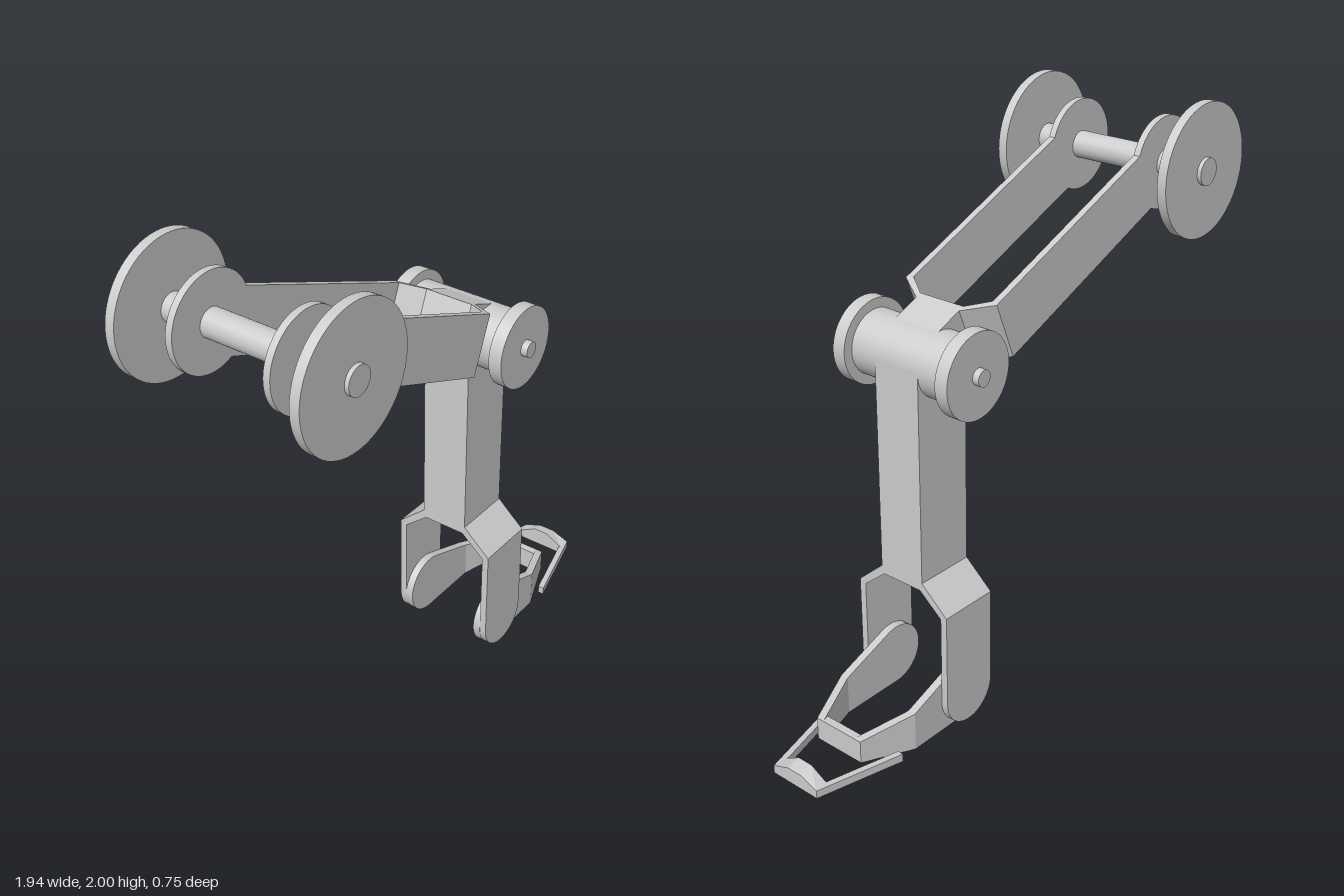
import * as THREE from 'three';

const material = new THREE.MeshStandardMaterial({ color: 0xcccccc });

function add(parent, name, geometry, x = 0, y = 0, z = 0) {
  const mesh = new THREE.Mesh(geometry, material);
  mesh.name = name;
  mesh.position.set(x, y, z);
  parent.add(mesh);
  return mesh;
}

const polygon = (points) => new THREE.Shape(points.map(([x, y]) => new THREE.Vector2(x, y)));

// Disc or pin lying along z
function disc(radius, length) {
  return new THREE.CylinderGeometry(radius, radius, length, 64).rotateX(Math.PI / 2);
}

// Extrude an xy outline from z0 to z1
function slab(points, z0, z1) {
  return new THREE.ExtrudeGeometry(polygon(points), { depth: z1 - z0, bevelEnabled: false }).translate(0, 0, z0);
}

// Slide vertices sideways in z in proportion to their distance past x0
function shear(geometry, x0, slope) {
  const p = geometry.attributes.position;
  for (let i = 0; i < p.count; i++) p.setZ(i, p.getZ(i) + slope * (p.getX(i) - x0));
  geometry.computeVertexNormals();
  return geometry;
}

// Limb with a solid stem at the top that splits into two plates ending at the local origin
function fork(name, o) {
  const group = new THREE.Group();
  group.name = name;
  const half = [
    [o.outer, 0], [o.outer, o.outerStart], [o.stem, o.outerEnd], [o.stem, o.end],
  ];
  const inside = [
    [o.innerStem, o.innerEnd], [o.inner, o.innerStart], [o.inner, 0],
  ];
  const flip = (list) => list.map(([x, y]) => [-x, y]).reverse();
  const outline = [...half, ...flip(half), ...flip(inside), ...inside];
  const body = slab(outline, -o.halfWidth, o.halfWidth).rotateY(Math.PI / 2);
  add(group, name + 'Body', body);
  for (const s of [-1, 1]) {
    add(group, name + 'RoundEnd', disc(o.endRadius, o.outer - o.inner), 0, 0, s * (o.outer + o.inner) / 2);
  }
  return group;
}

export function createModel() {
  const model = new THREE.Group();
  model.name = 'mechanicalLeg';
  const hip = [-0.735, 1.762], knee = [0.325, 1.323], ankle = [0.325, 0.115];

  // Hip axle and large outer discs
  add(model, 'hipAxle', disc(0.049, 0.75), ...hip, 0);
  for (const s of [-1, 1]) add(model, 'hipDisc', disc(0.238, 0.035), ...hip, s * 0.3425);

  // Thigh, running from hip down to knee
  const dx = knee[0] - hip[0], dy = knee[1] - hip[1];
  const length = Math.hypot(dx, dy);
  const thigh = fork('thigh', {
    outer: 0.195, inner: 0.17, stem: 0.092, innerStem: 0.092, halfWidth: 0.11, endRadius: 0.165,
    outerStart: length - 0.205, outerEnd: length - 0.137,
    innerStart: length - 0.217, innerEnd: length - 0.16, end: length - 0.02,
  });
  thigh.position.set(...hip, 0);
  thigh.rotation.z = Math.atan2(dy, dx) - Math.PI / 2;
  model.add(thigh);

  // Knee drum, side discs and pin
  add(model, 'kneeDrum', disc(0.114, 0.39), ...knee, 0);
  add(model, 'kneePin', disc(0.029, 0.54), ...knee, 0);
  for (const s of [-1, 1]) add(model, 'kneeDisc', disc(0.149, 0.05), ...knee, s * 0.22);

  // Shin, standing on the ankle
  const shin = fork('shin', {
    outer: 0.2, inner: 0.174, stem: 0.092, innerStem: 0.082, halfWidth: 0.114, endRadius: 0.114,
    outerStart: 0.35, outerEnd: 0.445, innerStart: 0.338, innerEnd: 0.415, end: knee[1] - ankle[1],
  });
  shin.position.set(...ankle, 0);
  model.add(shin);

  // Foot: two side plates that taper towards a front bar
  const foot = new THREE.Group();
  foot.name = 'foot';
  model.add(foot);
  const rear = [[0.325, 0], [0.575, 0], [0.575, 0.145], [0.365, 0.223], [0.325, 0.229]];
  const front = [[0.575, 0], [0.765, 0.02], [0.765, 0.105], [0.575, 0.145]];
  const prong = [[0.65, 0], [0.97, 0], [0.97, 0.03], [0.65, 0.03]];
  for (const s of [-1, 1]) {
    const [z0, z1] = s > 0 ? [0.144, 0.174] : [-0.174, -0.144];
    add(foot, 'ankleDisc', disc(0.115, 0.03), ...ankle, s * 0.159);
    add(foot, 'footSide', slab(rear, z0, z1));
    add(foot, 'footTaper', shear(slab(front, z0, z1), 0.575, -s * 0.38));
    // Toe prong, angled inwards
    const [p0, p1] = s > 0 ? [0.163, 0.186] : [-0.186, -0.163];
    add(foot, 'toeProng', shear(slab(prong, p0, p1), 0.65, -s * 0.265));
  }
  add(foot, 'footBar', new THREE.BoxGeometry(0.03, 0.085, 0.19), 0.75, 0.0625, 0);

  // Toe bar with a raised middle that slopes down to the tip
  const toe = slab([[-0.1, 0], [0.1, 0], [0.1, 0.03], [0.03, 0.068], [-0.03, 0.068], [-0.1, 0.03]], -0.025, 0.025);
  toe.rotateY(Math.PI / 2);
  const p = toe.attributes.position;
  for (let i = 0; i < p.count; i++) {
    if (p.getX(i) > 0 && p.getY(i) > 0.05) p.setY(i, 0.056);
  }
  toe.computeVertexNormals();
  add(foot, 'toeBar', toe, 0.945, 0, 0);

  return model;
}
